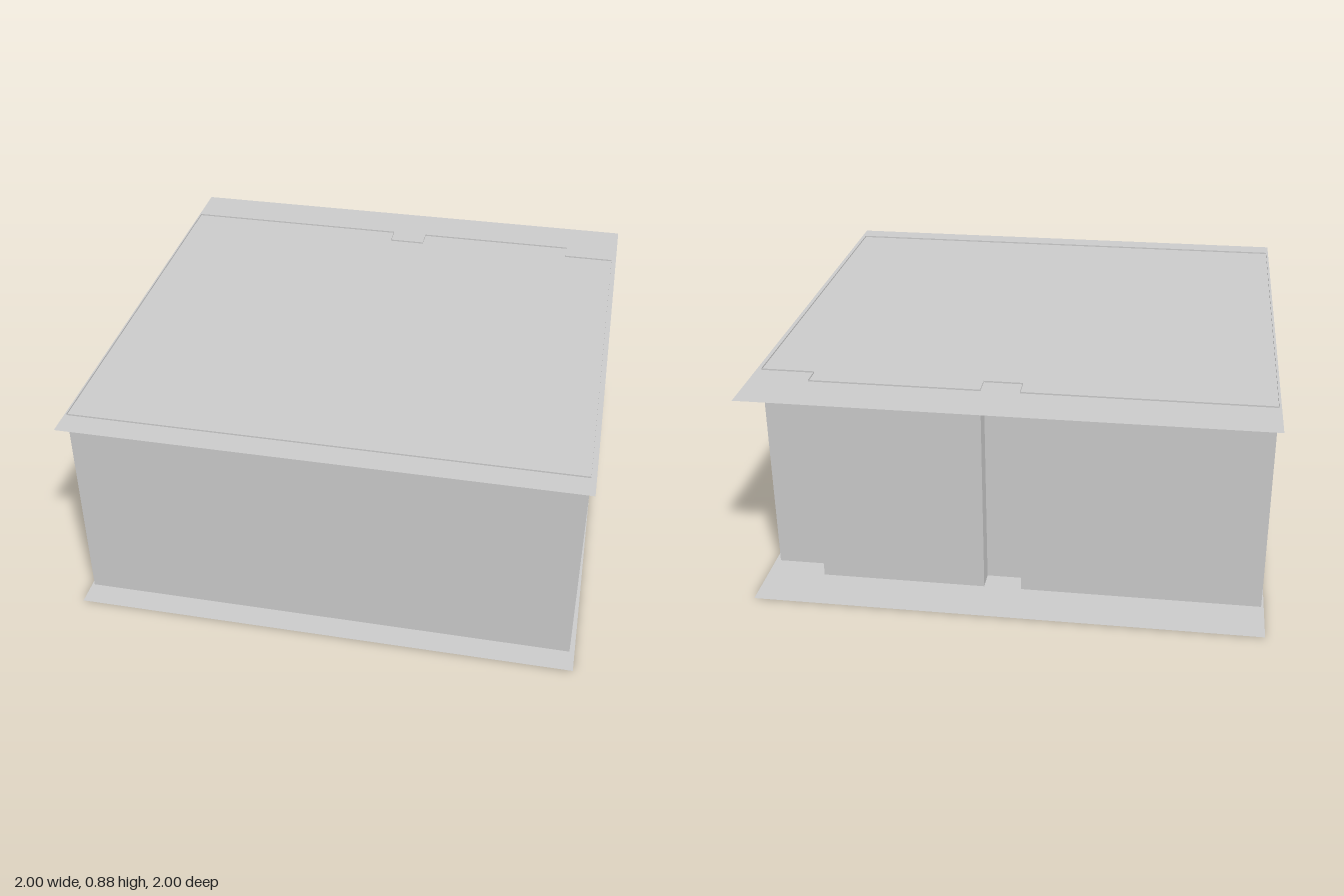
import * as THREE from 'three';

const HEIGHT = 0.875;

export function createModel() {
  const model = new THREE.Group();
  const material = new THREE.MeshStandardMaterial({
    color: 0xcccccc, flatShading: true, side: THREE.DoubleSide,
  });

  // Floor and roof: thin square sheets overhanging the walls
  const addSheet = (name, y) => {
    const sheet = new THREE.Mesh(new THREE.PlaneGeometry(2, 2).rotateX(-Math.PI / 2), material);
    sheet.name = name;
    sheet.position.y = y;
    model.add(sheet);
  };
  addSheet('floor', 0.001);
  addSheet('roof', HEIGHT - 0.006);

  // Wall outline as [x, z], with a groove and a stepped corner at the back
  const outline = [
    [-0.99, 0.9], [0.98, 0.9], [0.98, -0.72], [0.77, -0.72], [0.77, -0.8],
    [0.11, -0.8], [0.11, -0.72], [-0.04, -0.72], [-0.04, -0.8], [-0.99, -0.8],
  ];

  // One upright panel per outline segment, facing outwards
  const walls = new THREE.Group();
  walls.name = 'walls';
  outline.forEach(([x0, z0], i) => {
    const [x1, z1] = outline[(i + 1) % outline.length];
    const length = Math.hypot(x1 - x0, z1 - z0);
    const panel = new THREE.Mesh(new THREE.PlaneGeometry(length, HEIGHT), material);
    panel.name = 'wallPanel';
    panel.position.set((x0 + x1) / 2, HEIGHT / 2, (z0 + z1) / 2);
    panel.rotation.y = Math.atan2(z0 - z1, x1 - x0);
    walls.add(panel);
  });
  model.add(walls);

  return model;
}
